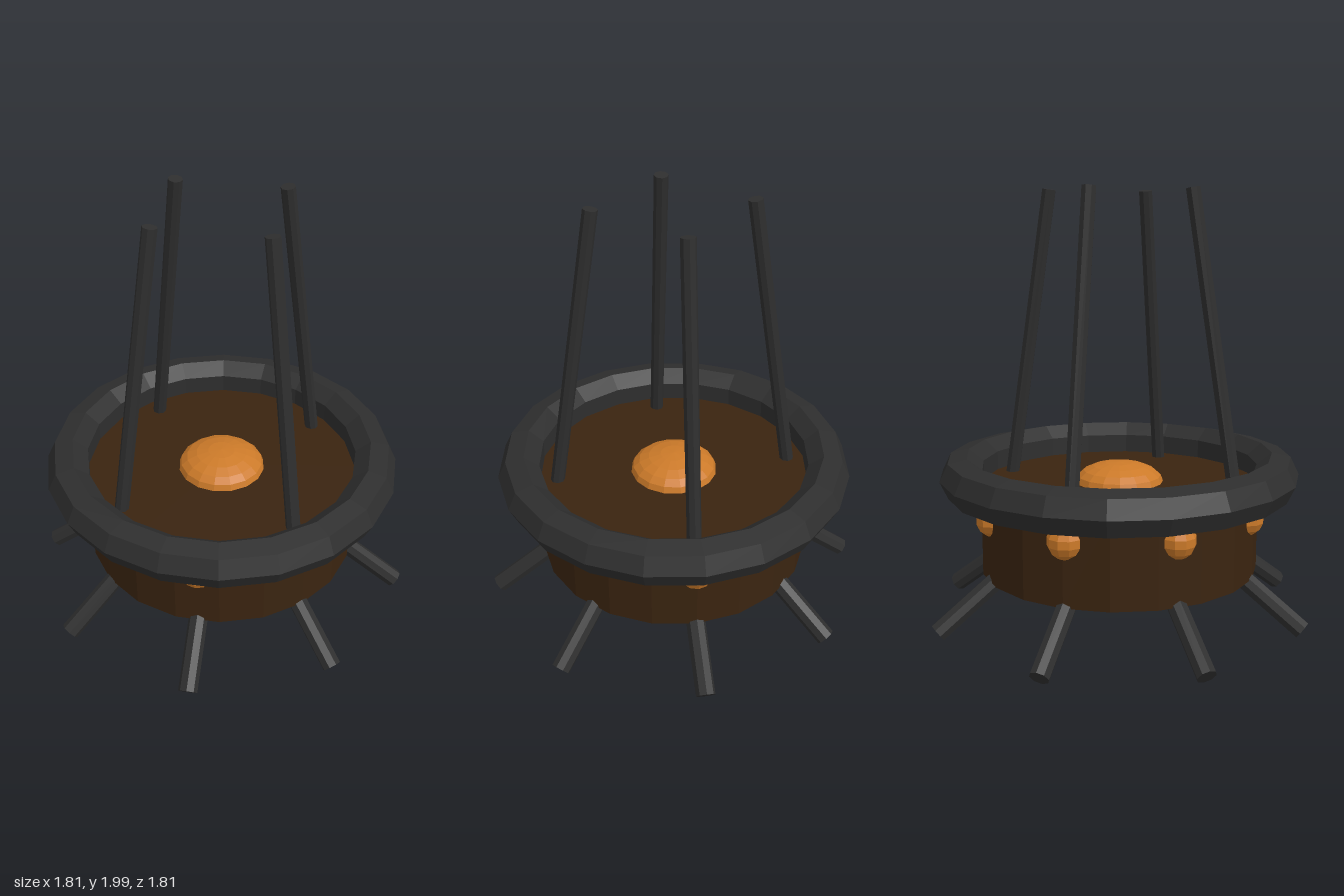
import * as THREE from 'three';

const mat = (name, color) => {
  const m = new THREE.MeshStandardMaterial({ color, flatShading: true });
  m.name = name;
  return m;
};

export function createModel() {
  const root = new THREE.Group();
  const iron = mat('dark iron', 0x2e2e2e);
  const wood = mat('dark brown', 0x3a2410);
  const amber = mat('amber', 0xcc7a29);

  const add = (name, geometry, material, parent = root) => {
    const mesh = new THREE.Mesh(geometry, material);
    mesh.name = name;
    parent.add(mesh);
    return mesh;
  };

  // Straight round bar between two points
  const bar = (name, a, b, radius, sides, parent) => {
    const from = new THREE.Vector3(...a), to = new THREE.Vector3(...b);
    const dir = to.clone().sub(from);
    const mesh = add(name, new THREE.CylinderGeometry(radius, radius, dir.length(), sides), iron, parent);
    mesh.position.copy(from).lerp(to, 0.5);
    mesh.quaternion.setFromUnitVectors(new THREE.Vector3(0, 1, 0), dir.normalize());
  };

  // Drum body with a thick rim
  add('body', new THREE.CylinderGeometry(0.645, 0.645, 0.4, 20), wood).position.y = 0.455;
  const rim = add('rim', new THREE.TorusGeometry(0.73, 0.102, 7, 20), iron);
  rim.rotation.x = -Math.PI / 2;
  rim.position.y = 0.699;

  // Flattened dome in the middle of the top
  const dome = add('dome', new THREE.SphereGeometry(0.205, 16, 10), amber);
  dome.scale.y = 0.45;
  dome.position.y = 0.655;

  // Eight splayed legs, each below a round stud
  for (let i = 0; i < 8; i++) {
    const side = new THREE.Group();
    side.name = 'legAndStud';
    side.rotation.y = i * Math.PI / 4;
    root.add(side);
    bar('leg', [0.56, 0.287, 0], [0.88, 0.046, 0], 0.044, 8, side);
    add('stud', new THREE.SphereGeometry(0.081, 10, 7), amber, side).position.set(0.612, 0.54, 0);
  }

  // Four tall poles leaning inwards
  for (let i = 0; i < 4; i++) {
    const side = new THREE.Group();
    side.name = 'poleMount';
    side.rotation.y = i * Math.PI / 2;
    root.add(side);
    bar('pole', [0.56, 0.63, 0], [0.345, 1.995, 0], 0.033, 8, side);
  }

  return root;
}
